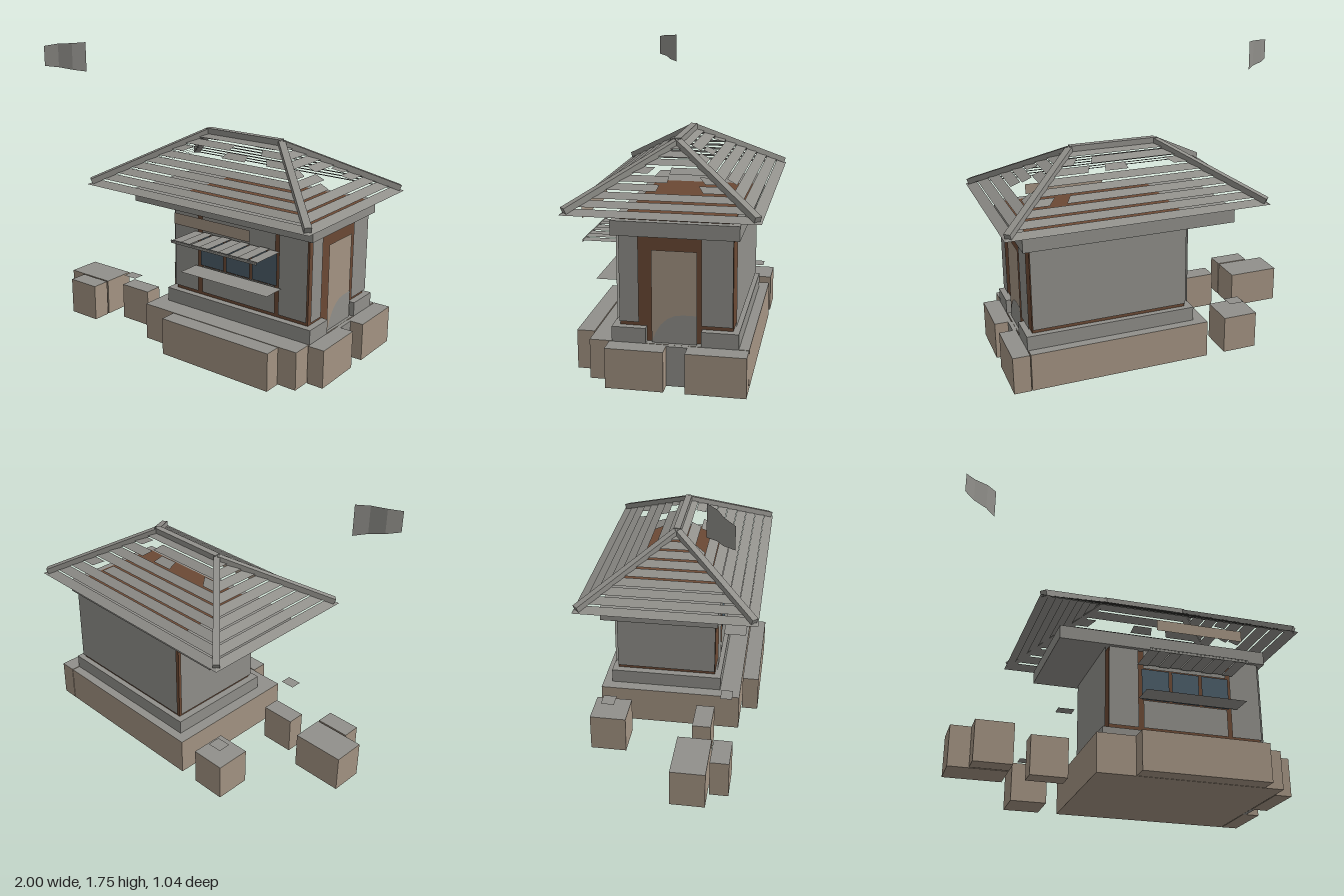
import * as THREE from 'three';

const mat = (name, color) => {
  const m = new THREE.MeshStandardMaterial({ color, side: THREE.DoubleSide });
  m.name = name;
  return m;
};

export function createModel() {
  const stone = mat('grey stone', 0x91908b);
  const tan = mat('tan stone', 0xa49483);
  const brown = mat('brown timber', 0x6b4934);
  const glass = mat('blue glass', 0x4c5e6a);
  const root = new THREE.Group();
  root.name = 'hut';

  const add = (name, geo, material, parent = root) => {
    const m = new THREE.Mesh(geo, material);
    m.name = name;
    parent.add(m);
    return m;
  };
  // Box given by its limits on each axis
  const box = (name, x0, x1, y0, y1, z0, z1, material) => {
    const m = add(name, new THREE.BoxGeometry(x1 - x0, y1 - y0, z1 - z0), material);
    m.position.set((x0 + x1) / 2, (y0 + y1) / 2, (z0 + z1) / 2);
  };
  // Flat four-cornered sheet, and versions square to each axis
  const quad = (name, a, b, c, d, material = stone, parent = root) => {
    const g = new THREE.BufferGeometry();
    g.setAttribute('position', new THREE.Float32BufferAttribute([a, b, c, a, c, d].flat(), 3));
    g.computeVertexNormals();
    add(name, g, material, parent);
  };
  const sheetZ = (name, x0, x1, y0, y1, z, material) => {
    const [l, r] = z > 0 ? [x0, x1] : [x1, x0];
    quad(name, [l, y0, z], [r, y0, z], [r, y1, z], [l, y1, z], material);
  };
  const sheetX = (name, z0, z1, y0, y1, x, material) => {
    const [l, r] = x > 0 ? [z1, z0] : [z0, z1];
    quad(name, [x, y0, l], [x, y0, r], [x, y1, r], [x, y1, l], material);
  };
  const sheetY = (name, x0, x1, z0, z1, y) =>
    quad(name, [x0, y, z1], [x1, y, z1], [x1, y, z0], [x0, y, z0]);

  // Foundation and loose blocks: tan sides, grey tops
  const capped = [tan, tan, stone, tan, tan, tan];
  [
    ['foundation', -0.205, 0.875, -0.455, 0.41],
    ['frontStep', 0.015, 0.76, 0.415, 0.515],
    ['sideBlockFront', 0.88, 0.98, -0.015, 0.3],
    ['sideBlockBack', 0.88, 0.98, -0.455, -0.13],
    ['looseBlockLarge', -0.965, -0.645, 0.09, 0.29],
    ['looseBlockFront', -0.853, -0.645, 0.3, 0.41],
    ['looseBlockSmall', -0.53, -0.32, 0.16, 0.27],
    ['looseBlockBack', -0.53, -0.32, -0.455, -0.24],
  ].forEach(([n, x0, x1, z0, z1]) => box(n, x0, x1, 0, 0.225, z0, z1, capped));
  box('doorStep', 0.876, 0.9, 0, 0.225, -0.13, -0.015, stone);
  sheetY('floatingSlabFront', -0.41, -0.32, 0.31, 0.38, 0.35);
  sheetY('floatingSlabBack', -0.47, -0.38, -0.4, -0.32, 0.284);

  // Plinth, open in front of the door
  box('plinth', -0.135, 0.83, 0.225, 0.31, -0.4, 0.285, stone);
  box('plinthFrontEnd', 0.83, 0.88, 0.225, 0.31, 0.1, 0.285, stone);
  box('plinthBackEnd', 0.83, 0.88, 0.225, 0.31, -0.4, -0.2, stone);

  // Timber core that shows between the wall panels
  box('timberCore', -0.09, 0.84, 0.227, 0.815, -0.365, 0.245, brown);

  // Wall panels standing just off the core
  const FRONT = 0.262, BACK = -0.382, LEFT = 0.858, RIGHT = -0.108;
  sheetZ('frontPanel', -0.09, 0.085, 0.335, 0.815, FRONT);
  sheetZ('frontPanel', 0.655, 0.84, 0.335, 0.815, FRONT);
  sheetZ('panelUnderWindow', 0.115, 0.63, 0.335, 0.502, FRONT);
  sheetZ('panelOverWindow', 0.115, 0.63, 0.7, 0.815, FRONT);
  sheetZ('backPanel', -0.09, 0.84, 0.335, 0.815, BACK);
  sheetX('rightPanel', -0.365, 0.245, 0.335, 0.815, RIGHT);
  sheetX('leftPanelFront', 0.14, 0.245, 0.335, 0.815, LEFT);
  sheetX('leftPanelBack', -0.365, -0.198, 0.335, 0.815, LEFT);

  // Door with a curved guard at its foot
  sheetX('door', -0.175, 0.07, 0.23, 0.74, LEFT, tan);
  const arc = new THREE.Shape();
  arc.moveTo(-0.07, 0.228);
  arc.quadraticCurveTo(-0.02, 0.39, 0.1, 0.39);
  arc.lineTo(0.175, 0.39);
  arc.lineTo(0.175, 0.228);
  const guard = add('doorGuard', new THREE.ShapeGeometry(arc, 5), stone);
  guard.rotation.y = Math.PI / 2;
  guard.position.x = LEFT + 0.004;

  // Window panes, counter and slatted awning
  for (const x of [0.105, 0.29, 0.475])
    sheetZ('windowPane', x, x + 0.167, 0.505, 0.695, FRONT + 0.002, glass);
  sheetY('counter', 0.08, 0.685, 0.28, 0.42, 0.503);
  for (let i = 0; i < 9; i++) {
    const x = 0.075 + i * 0.066;
    sheetY('awningSlat', x, x + 0.064, 0.275, 0.5, i % 2 ? 0.718 : 0.714);
  }
  sheetZ('awningLip', 0.075, 0.67, 0.703, 0.722, 0.498);

  // Beam band under the roof, ceiling and blank sign board
  box('beamBand', -0.39, 0.88, 0.815, 0.895, -0.4, 0.285, stone);
  box('ceiling', -0.09, 0.84, 0.894, 0.897, -0.36, 0.24, brown);
  sheetZ('signBoard', 0.115, 0.63, 0.828, 0.893, 0.51, tan);

  // Hip roof of stepped slats with open joints
  const roof = new THREE.Group();
  roof.name = 'roof';
  root.add(roof);
  const ROWS = 9, RX0 = -0.04, RX1 = 0.48;
  const limits = (t) => ({
    x0: THREE.MathUtils.lerp(-0.56, RX0, t), x1: THREE.MathUtils.lerp(1, RX1, t),
    z: 0.52 * (1 - t), y: 0.942 + 0.31 * t,
  });
  // Missing stretches, as fractions along the slat
  const holes = {
    front6: [0.13, 0.46, 0.65, 0.82], front7: [0.47, 0.77],
    back6: [0.13, 0.46, 0.62, 0.74], back7: [0.73, 0.87], back3: [0.82, 0.9],
    left3: [0.43, 0.79], left4: [0.5, 0.85], left5: [0.25, 0.5],
  };
  const mix = (u, v, t) => u.map((c, k) => c + (v[k] - c) * t);
  for (let i = 0; i < ROWS; i++) {
    const a = limits(i / ROWS), b = limits((i + 0.99) / ROWS);
    const ya = a.y, yb = a.y + 0.024;
    const sides = {
      front: [[a.x0, ya, a.z], [a.x1, ya, a.z], [b.x1, yb, b.z], [b.x0, yb, b.z]],
      back: [[a.x1, ya, -a.z], [a.x0, ya, -a.z], [b.x0, yb, -b.z], [b.x1, yb, -b.z]],
      left: [[a.x1, ya, a.z], [a.x1, ya, -a.z], [b.x1, yb, -b.z], [b.x1, yb, b.z]],
      right: [[a.x0, ya, -a.z], [a.x0, ya, a.z], [b.x0, yb, b.z], [b.x0, yb, -b.z]],
    };
    for (const [side, [p, q, r, s]] of Object.entries(sides)) {
      // Back slats run the other way, so their stretches are mirrored
      const gaps = holes[side + i] ?? [];
      const cuts = [0, ...(side === 'back' ? gaps.map((t) => 1 - t).reverse() : gaps), 1];
      for (let k = 0; k < cuts.length; k += 2) {
        const [t0, t1] = [cuts[k], cuts[k + 1]];
        quad(side + 'RoofSlat', mix(p, q, t0), mix(p, q, t1), mix(s, r, t1), mix(s, r, t0), stone, roof);
      }
    }
  }

  // Ridge and hip caps
  const cap = (name, from, to) => {
    const a = new THREE.Vector3(...from), b = new THREE.Vector3(...to);
    const m = add(name, new THREE.BoxGeometry(0.04, 0.034, a.distanceTo(b)), stone, roof);
    m.position.copy(a).add(b).multiplyScalar(0.5);
    m.lookAt(b);
  };
  cap('ridgeCap', [RX0 - 0.005, 1.252, 0], [RX1 + 0.005, 1.252, 0]);
  for (const z of [-0.5, 0.5]) {
    cap('hipCap', [RX0, 1.25, 0], [-0.54, 0.962, z]);
    cap('hipCap', [RX1, 1.25, 0], [0.98, 0.962, z]);
  }

  // Floating curved sheet
  const strip = [
    [-1, 0.415, 1.6, 1.722], [-0.94, 0.355, 1.59, 1.735],
    [-0.86, 0.315, 1.577, 1.74], [-0.8, 0.257, 1.565, 1.745],
  ];
  for (let i = 0; i < 3; i++) {
    const [x0, z0, l0, h0] = strip[i], [x1, z1, l1, h1] = strip[i + 1];
    quad('floatingSheet', [x0, l0, z0], [x1, l1, z1], [x1, h1, z1], [x0, h0, z0]);
  }
  return root;
}
